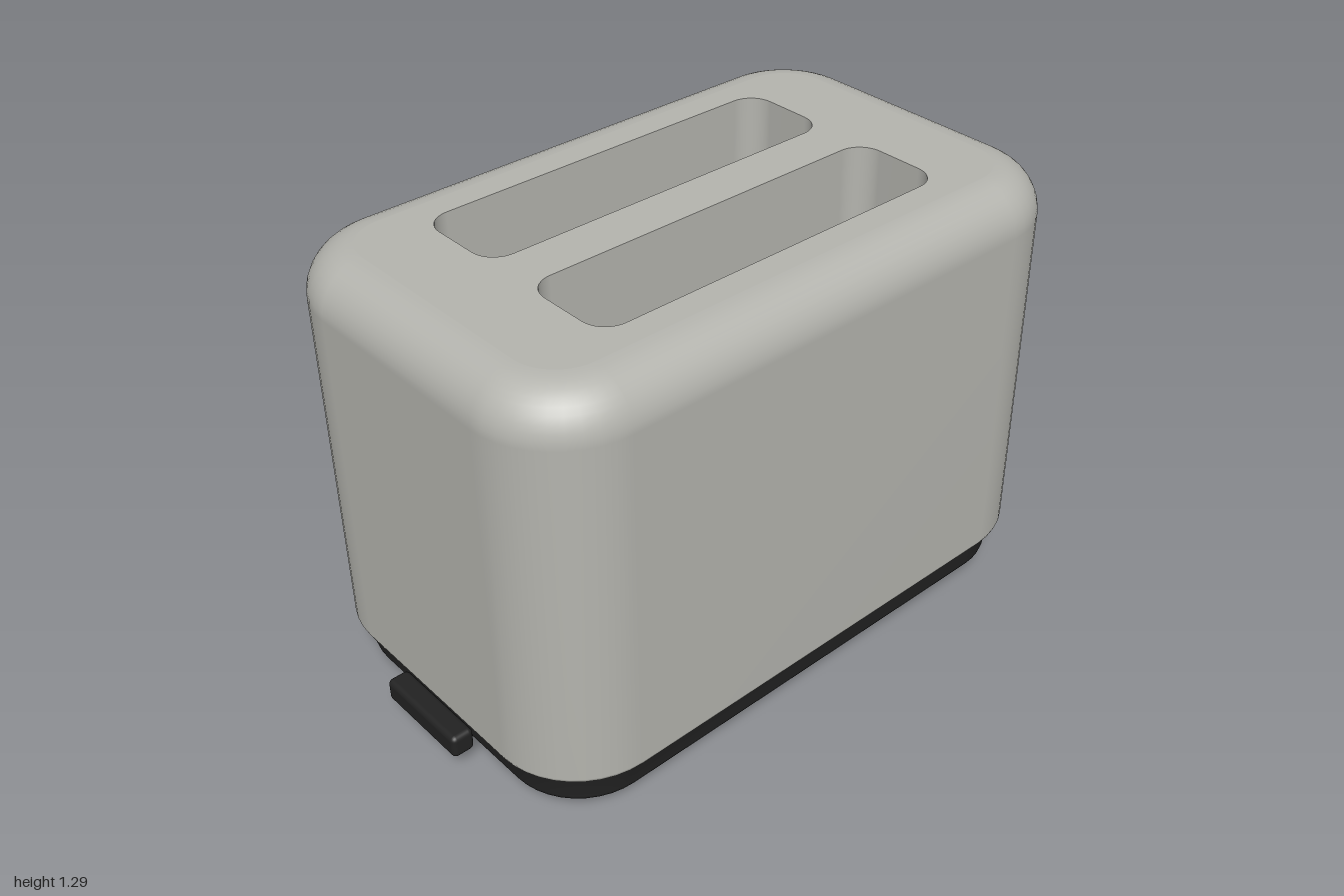
import * as THREE from 'three';
import { toCreasedNormals } from 'three/addons/utils/BufferGeometryUtils.js';
import { RoundedBoxGeometry } from 'three/addons/geometries/RoundedBoxGeometry.js';

const CX = -0.07; // centre of the housing along x

// Outline of a rounded rectangle as [x, z] points
function outline(w, d, r, cx = 0, cz = 0, n = 10) {
  const pts = [];
  for (let c = 0; c < 4; c++) {
    const sx = c === 0 || c === 3 ? 1 : -1, sz = c < 2 ? 1 : -1;
    for (let i = 0; i <= n; i++) {
      const a = (c + i / n) * Math.PI / 2;
      pts.push([cx + sx * (w / 2 - r) + r * Math.cos(a), cz + sz * (d / 2 - r) + r * Math.sin(a)]);
    }
  }
  return pts;
}

// Skin through closed loops; rising levels face outward, falling ones inward
function loft(levels) {
  const pos = [], idx = [], n = levels[0].pts.length;
  levels.forEach(({ y, pts }) => pts.forEach(([x, z]) => pos.push(x, y, z)));
  for (let j = 0; j < levels.length - 1; j++) {
    for (let i = 0; i < n; i++) {
      const a = j * n + i, b = j * n + (i + 1) % n;
      idx.push(a, a + n, b, b, a + n, b + n);
    }
  }
  const g = new THREE.BufferGeometry();
  g.setAttribute('position', new THREE.Float32BufferAttribute(pos, 3));
  g.setIndex(idx);
  g.computeVertexNormals();
  return g;
}

// Flat horizontal face with optional holes
function plate(pts, y, holes = [], down = false) {
  const vec = (list) => list.map(([x, z]) => new THREE.Vector2(x, down ? z : -z));
  const shape = new THREE.Shape(vec(pts));
  holes.forEach((h) => shape.holes.push(new THREE.Path(vec(h))));
  return new THREE.ShapeGeometry(shape).rotateX(down ? Math.PI / 2 : -Math.PI / 2).translate(0, y, 0);
}

// Short bevelled cylinder standing on y = 0
function disc(r, h, b) {
  const p = [[0, 0], [r - b, 0], [r, b], [r, h - b], [r - b, h], [0, h]];
  return toCreasedNormals(new THREE.LatheGeometry(p.map(([x, y]) => new THREE.Vector2(x, y)), 40), 0.5);
}

export function createModel() {
  const model = new THREE.Group();
  model.name = 'toaster';
  const material = (name, color) => {
    const m = new THREE.MeshStandardMaterial({ color });
    m.name = name;
    return m;
  };
  const steel = material('warm grey metal', 0xb4b4ae);
  const black = material('black plastic', 0x222222);
  const white = material('white print', 0xdddddd);
  const add = (name, geometry, mat, x = 0, y = 0, z = 0) => {
    const mesh = new THREE.Mesh(geometry, mat);
    mesh.name = name;
    mesh.position.set(x, y, z);
    model.add(mesh);
    return mesh;
  };

  // Housing shell with a large rounded top edge
  const ring = (inset) => outline(1.765 - 2 * inset, 1.09 - 2 * inset, 0.25 - inset, CX);
  const shell = [[0.16, 0.06], [0.16, 0.015], [0.165, 0.005], [0.177, 0]];
  for (let i = 0; i <= 10; i++) {
    const a = i / 10 * Math.PI / 2;
    shell.push([1.165 + 0.125 * Math.sin(a), 0.125 * (1 - Math.cos(a))]);
  }
  add('housing', loft(shell.map(([y, inset]) => ({ y, pts: ring(inset) }))), steel);

  // Top face with two bread slots, their walls and floors
  const slots = [-0.207, 0.207].map((z) => outline(1.105, 0.275, 0.07, CX, z));
  add('housingTop', plate(ring(0.125), 1.29, slots), steel);
  slots.forEach((pts) => {
    add('slotWall', loft([{ y: 1.29, pts }, { y: 0.25, pts }]), steel);
    add('slotFloor', plate(pts, 0.25), black);
  });

  // Plinth and feet
  const plinth = [[0.06, 0.05], [0.065, 0.043], [0.075, 0.04], [0.13, 0.038], [0.165, 0.024]];
  add('plinth', loft(plinth.map(([y, inset]) => ({ y, pts: ring(inset) }))), black);
  add('plinthBottom', plate(ring(0.05), 0.06, [], true), black);
  for (const x of [-0.745, 0.6]) {
    for (const z of [-0.355, 0.355]) add('foot', disc(0.0625, 0.065, 0.01), black, x, 0, z);
  }

  // Crumb tray handle
  add('crumbTrayHandle', new RoundedBoxGeometry(0.065, 0.068, 0.3, 3, 0.015), black, -0.967, 0.112, 0);

  // Control panel
  add('controlPanel', new RoundedBoxGeometry(0.04, 0.905, 0.49, 2, 0.008), black, 0.815, 0.6625, 0);

  // Lever, flaring toward its outer end
  const lever = new RoundedBoxGeometry(0.17, 0.097, 0.228, 4, 0.025);
  const p = lever.attributes.position;
  for (let i = 0; i < p.count; i++) {
    const t = p.getX(i) / 0.17 + 0.5;
    p.setY(i, p.getY(i) * (0.78 + 0.22 * t));
    p.setZ(i, p.getZ(i) * (0.88 + 0.12 * t));
  }
  add('lever', lever, black, 0.915, 1.045, 0);

  // Buttons with printed symbols
  for (const z of [-0.138, 0.138]) {
    add('button', new RoundedBoxGeometry(0.04, 0.075, 0.097, 3, 0.01), black, 0.84, 0.796, z);
  }
  const mark = (name, x, y, z, h, d, tilt = 0) => {
    add(name, new THREE.BoxGeometry(0.003, h, d), white, x, y, z).rotation.x = tilt;
  };
  mark('defrostSymbol', 0.861, 0.796, 0.138, 0.025, 0.009);
  mark('defrostSymbol', 0.861, 0.796, 0.138, 0.009, 0.025);
  for (const dy of [-0.007, 0, 0.007]) mark('reheatSymbol', 0.861, 0.796 + dy, -0.138, 0.003, 0.018);

  // Browning knob, pointer and scale marks
  add('browningKnob', disc(0.102, 0.085, 0.01), black, 0.83, 0.415, 0).rotation.z = -Math.PI / 2;
  mark('knobPointer', 0.915, 0.466, -0.025, 0.042, 0.004, -0.4);
  mark('scaleMark', 0.836, 0.541, -0.06, 0.005, 0.006);
  mark('scaleMark', 0.836, 0.442, -0.135, 0.008, 0.006);
  mark('scaleMark', 0.836, 0.323, -0.107, 0.013, 0.013, Math.PI / 4);

  return model;
}
